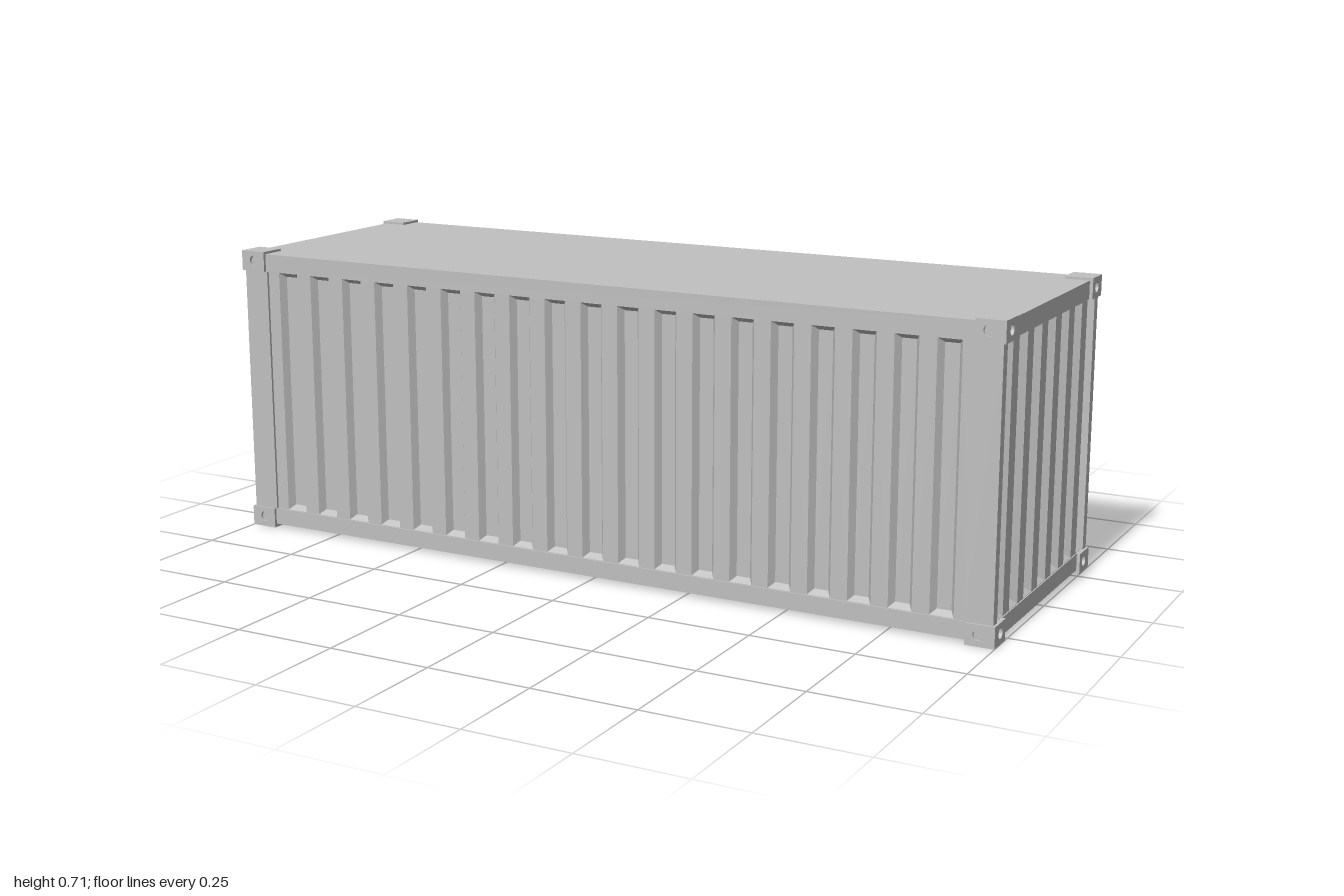
import * as THREE from 'three';

const grey = new THREE.MeshStandardMaterial({ color: 0xc0c0c0 });
grey.name = 'painted steel grey';

const Y0 = 0.05, Y1 = 0.663; // wall opening between bottom and top frames
const MID = (Y0 + Y1) / 2, H = Y1 - Y0;

function add(parent, name, geometry, x = 0, y = 0, z = 0) {
  const mesh = new THREE.Mesh(geometry, grey);
  mesh.name = name;
  mesh.position.set(x, y, z);
  parent.add(mesh);
  return mesh;
}

const box = (parent, name, w, h, d, x, y, z) =>
  add(parent, name, new THREE.BoxGeometry(w, h, d), x, y, z);

function rect(path, x0, y0, x1, y1) {
  path.moveTo(x0, y0).lineTo(x1, y0).lineTo(x1, y1).lineTo(x0, y1).closePath();
  return path;
}

// Sheet facing +z with sloped rectangular pockets [cx, cy, width, height]
function pressedSheet(name, w, h, pockets, depth, slope) {
  const group = new THREE.Group();
  group.name = name;
  const shape = rect(new THREE.Shape(), -w / 2, -h / 2, w / 2, h / 2);
  const pos = [];
  const quad = (a, b, c, d) => pos.push(...a, ...b, ...c, ...a, ...c, ...d);
  for (const [cx, cy, pw, ph] of pockets) {
    const corners = (inset, z) => [[-1, -1], [1, -1], [1, 1], [-1, 1]].map(
      ([sx, sy]) => [cx + sx * (pw / 2 - inset), cy + sy * (ph / 2 - inset), z]);
    const o = corners(0, 0), n = corners(slope, -depth);
    shape.holes.push(rect(new THREE.Path(), o[0][0], o[0][1], o[2][0], o[2][1]));
    for (let i = 0; i < 4; i++) {
      const j = (i + 1) % 4;
      quad(o[i], o[j], n[j], n[i]);
    }
    quad(...n);
  }
  add(group, name + ' face', new THREE.ShapeGeometry(shape));
  const g = new THREE.BufferGeometry();
  g.setAttribute('position', new THREE.Float32BufferAttribute(pos, 3));
  g.computeVertexNormals();
  add(group, name + ' pockets', g);
  return group;
}

// Evenly spaced upright grooves
const grooves = (count, pitch, offset) => Array.from({ length: count }, (_, i) =>
  [offset + (i - (count - 1) / 2) * pitch, 0, 0.056, H - 0.002]);

// Plate with a round hole, extruded along +z
function holedPlate(x0, x1, holeX, depth) {
  const shape = rect(new THREE.Shape(), x0, 0, x1, 0.05);
  shape.holes.push(new THREE.Path().absarc(holeX, 0.026, 0.013, 0, Math.PI * 2, true));
  return new THREE.ExtrudeGeometry(shape, { depth, bevelEnabled: false, curveSegments: 16 });
}

// Corner block with its outer corner at the origin, holes facing +x and +z
function cornerCasting() {
  const g = new THREE.Group();
  g.name = 'cornerCasting';
  const s = 0.068, t = 0.015;
  add(g, 'castingFrontPlate', holedPlate(-s, 0, -0.037, t), 0, 0, -t);
  add(g, 'castingSidePlate', holedPlate(t, s, 0.037, t).rotateY(Math.PI / 2), -t, 0, 0);
  box(g, 'castingCore', s - t, 0.05, s - t, -(s + t) / 2, 0.025, -(s + t) / 2);
  return g;
}

function createDoors() {
  // Built facing +z with local x across the opening
  const doors = new THREE.Group();
  doors.name = 'doors';
  for (const side of [-1, 1]) {
    const pockets = [];
    for (let i = -2; i <= 2; i++) pockets.push([0, i * 0.115, 0.235, 0.068]);
    const leaf = pressedSheet('doorLeaf', 0.31, H, pockets, 0.012, 0.012);
    leaf.position.set(side * 0.155, MID, 0);
    doors.add(leaf);

    // Locking rods with guides and end cams
    for (const x of [0.065, 0.205]) {
      add(doors, 'lockingRod', new THREE.CylinderGeometry(0.006, 0.006, 0.66, 12),
        side * x, MID, 0.015);
      for (const y of [0.07, 0.185, 0.3, 0.415, 0.53, 0.645])
        box(doors, 'rodGuide', 0.024, 0.014, 0.022, side * x, y, 0.011);
      for (const y of [0.032, 0.681])
        box(doors, 'rodCam', 0.03, 0.022, 0.012, side * x, y, 0.018);
    }
    // Handle lever and its catch
    box(doors, 'handle', 0.13, 0.012, 0.008, side * 0.14, 0.225, 0.02);
    box(doors, 'handleCatch', 0.03, 0.034, 0.018, side * 0.135, 0.232, 0.009);
    // Hinges
    for (const y of [0.1, 0.27, 0.44, 0.61]) {
      box(doors, 'hingeLeaf', 0.045, 0.026, 0.006, side * 0.28, y, 0.003);
      add(doors, 'hingePin', new THREE.CylinderGeometry(0.007, 0.007, 0.036, 10),
        side * 0.302, y, 0.014);
    }
  }
  box(doors, 'doorSeam', 0.012, H, 0.006, 0, MID, 0.002);
  return doors;
}

export function createModel() {
  const model = new THREE.Group();
  model.name = 'shippingContainer';

  // Roof and floor frames
  box(model, 'floorFrame', 1.984, 0.041, 0.654, 0, 0.0295, 0);
  box(model, 'roofFrame', 1.984, 0.044, 0.654, 0, 0.685, 0);

  // Corner posts and castings
  const outer = [[1, 1], [1, -1], [-1, -1], [-1, 1]];
  outer.forEach(([sx, sz], k) => {
    box(model, 'cornerPost', 0.067, H, 0.024, sx * 0.9605, MID, sz * 0.317);
    for (const y of [0, 0.663]) {
      const casting = cornerCasting();
      casting.rotation.y = k * Math.PI / 2;
      casting.position.set(sx, y, sz * 0.334);
      model.add(casting);
    }
  });

  // Corrugated long walls
  for (const s of [1, -1]) {
    const wall = pressedSheet('sideWall', 1.88, H, grooves(19, 0.0967, s * 0.004), 0.016, 0.011);
    wall.position.set(0, MID, s * 0.323);
    wall.rotation.y = s > 0 ? 0 : Math.PI;
    model.add(wall);
  }

  // Corrugated end wall
  const end = pressedSheet('endWall', 0.65, H, grooves(7, 0.096, 0.005), 0.016, 0.011);
  end.position.set(0.989, MID, 0);
  end.rotation.y = Math.PI / 2;
  model.add(end);

  // Door end
  const doors = createDoors();
  doors.position.x = -0.975;
  doors.rotation.y = -Math.PI / 2;
  model.add(doors);

  return model;
}
